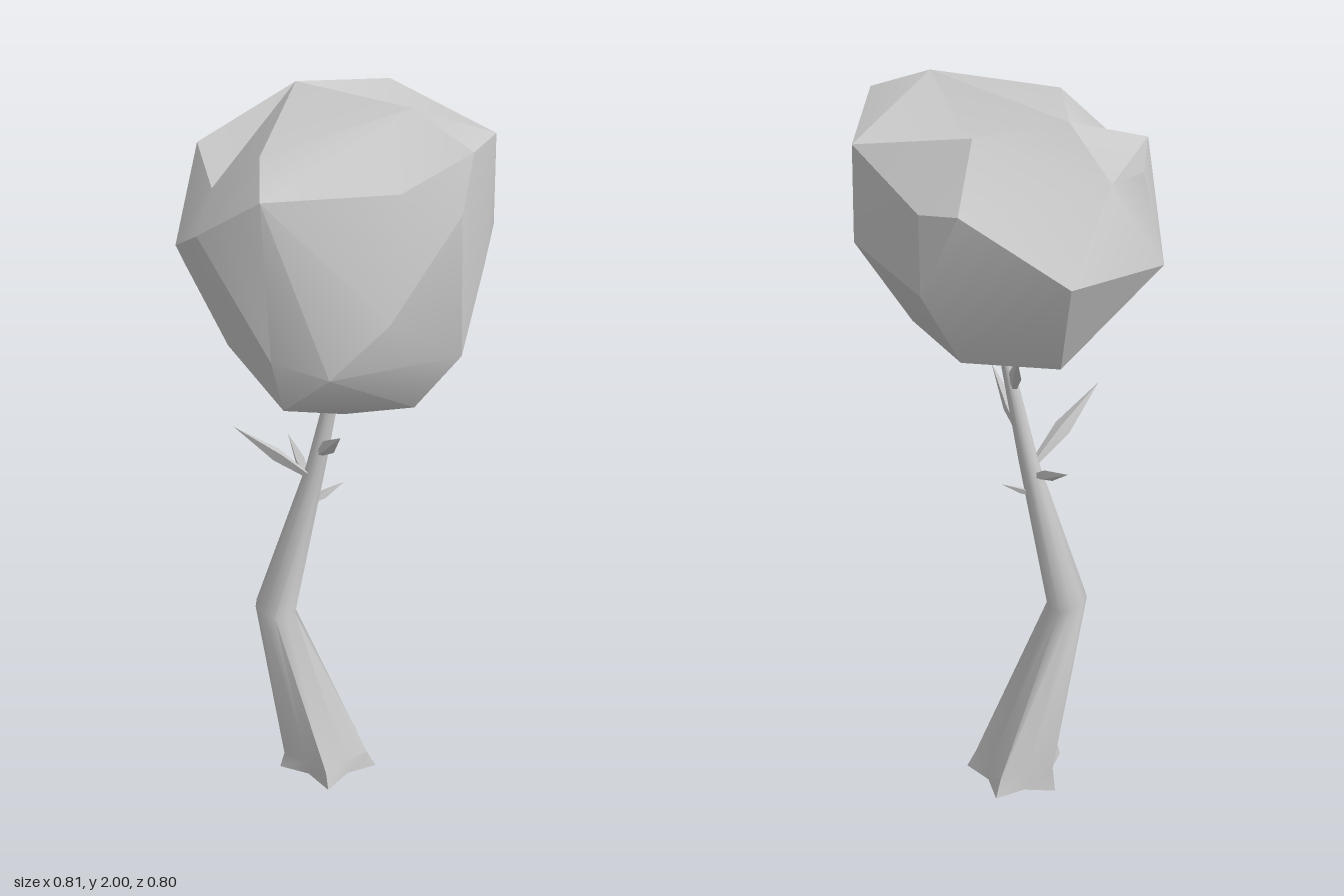
import * as THREE from 'three';
import { toCreasedNormals } from 'three/addons/utils/BufferGeometryUtils.js';
import { ConvexGeometry } from 'three/addons/geometries/ConvexGeometry.js';

const V = (x, y, z) => new THREE.Vector3(x, y, z);

// Skin a stack of rings (arrays of Vector3, running from +x towards +z, stacked upwards)
function loft(rings, crease) {
  const n = rings[0].length, pos = [];
  const tri = (...pts) => pts.forEach(p => pos.push(p.x, p.y, p.z));
  for (let i = 0; i < n; i++) {
    const k = (i + 1) % n;
    for (let j = 0; j + 1 < rings.length; j++) {
      const a = rings[j][i], b = rings[j][k], c = rings[j + 1][i], d = rings[j + 1][k];
      tri(a, c, b);
      tri(b, c, d);
    }
  }
  const g = new THREE.BufferGeometry();
  g.setAttribute('position', new THREE.Float32BufferAttribute(pos, 3));
  return toCreasedNormals(g, crease);
}

// Trunk: five-rooted star, open at the ground, rounding off towards the kink and the top
function trunkGeometry() {
  const sections = [ // y, centre x, centre z, ridge radius, valley radius, tilt
    [0, -0.018, 0.018, 0.145, 0.095, 0],
    [0.05, -0.02, 0.025, 0.125, 0.093, 0],
    [0.555, -0.118, 0.118, 0.056, 0.054, 0.18],
    [1.0, -0.035, 0.042, 0.026, 0.026, 0],
    [1.45, 0.045, 0.0, 0.01, 0.01, 0],
  ];
  return loft(sections.map(([y, cx, cz, ridge, valley, tilt]) =>
    Array.from({ length: 10 }, (_, i) => {
      const a = -0.4 + i * Math.PI / 5, r = i % 2 ? valley : ridge;
      const dx = r * Math.cos(a), dz = r * Math.sin(a);
      return V(cx + dx, y + tilt * (dz - dx), cz + dz);
    })), 1.1);
}

// Twig: a four-sided spike, widest before the middle
function twigGeometry(from, to, width) {
  const dir = to.clone().sub(from), len = dir.length();
  const q = new THREE.Quaternion().setFromUnitVectors(V(0, 1, 0), dir.normalize());
  const rings = [[0, 0.4], [0.45, 1], [1, 0.01]].map(([t, w]) =>
    Array.from({ length: 4 }, (_, i) => {
      const a = i * Math.PI / 2;
      return V(Math.cos(a) * w * width, t * len, Math.sin(a) * w * width * 0.7)
        .applyQuaternion(q).add(from);
    }));
  return loft(rings, 0.3);
}

// Crown: faceted hull, with a few surface points pushed in afterwards as hollows
function crownGeometry() {
  const hull = [
    // top
    [0.2, 2.0, -0.02], [-0.21, 1.95, -0.1], [0, 1.92, 0.26], [0.37, 1.94, -0.02],
    [-0.07, 1.94, -0.285], [0.25, 1.88, -0.28], [0.09, 1.87, 0.36], [-0.28, 1.86, 0.17],
    // upper sides
    [-0.35, 1.83, 0], [-0.07, 1.76, 0.395], [-0.1, 1.8, -0.4], [0, 1.79, -0.4],
    [0.39, 1.82, 0.04], [-0.2, 1.68, 0.335], [0.36, 1.65, -0.1],
    // waist
    [-0.41, 1.62, 0], [-0.3, 1.62, -0.25], [0, 1.6, -0.4], [0.25, 1.65, -0.29],
    [-0.28, 1.58, 0.235], [0.33, 1.6, 0.21],
    // lower sides
    [0.405, 1.48, 0.04], [0.24, 1.47, 0.31], [0.12, 1.5, 0.37], [-0.05, 1.47, 0.33],
    [0.14, 1.45, -0.22],
    // underside
    [0.32, 1.34, 0.1], [0.15, 1.28, 0.15], [0.11, 1.35, 0.32], [-0.2, 1.4, 0.11],
    [-0.23, 1.38, -0.16], [-0.03, 1.4, -0.28],
  ].map(p => V(...p));
  const hollows = [ // point on the hull, where it is pushed to
    [V(-0.02, 1.99, -0.19), V(-0.02, 1.89, -0.2)],
    [V(-0.345, 1.87, -0.1), V(-0.3, 1.81, -0.06)],
    [V(-0.16, 1.87, 0.32), V(-0.13, 1.82, 0.28)],
    [V(0.31, 1.92, 0.14), V(0.29, 1.87, 0.13)],
  ];
  const g = new ConvexGeometry([...hull, ...hollows.map(h => h[0])]);
  const pos = g.attributes.position, p = V(0, 0, 0);
  for (let i = 0; i < pos.count; i++) {
    p.fromBufferAttribute(pos, i);
    for (const [outer, inner] of hollows) {
      if (p.distanceTo(outer) < 1e-4) pos.setXYZ(i, inner.x, inner.y, inner.z);
    }
  }
  return toCreasedNormals(g, 0.4);
}

export function createModel() {
  const grey = new THREE.MeshStandardMaterial({ color: 0xcccccc, side: THREE.DoubleSide });
  grey.name = 'pale grey';
  const tree = new THREE.Group();
  tree.name = 'tree';
  const add = (name, geometry) => {
    const mesh = new THREE.Mesh(geometry, grey);
    mesh.name = name;
    tree.add(mesh);
  };

  add('trunk', trunkGeometry());
  add('crown', crownGeometry());

  const twigs = [ // root, tip, half width
    [[-0.04, 0.98, 0.06], [-0.14, 1.17, 0.23], 0.024],
    [[-0.02, 1.05, 0.045], [0.13, 1.2, 0.14], 0.02],
    [[-0.045, 0.95, 0.05], [-0.18, 1.02, -0.015], 0.018],
    [[-0.05, 0.89, 0.06], [0.01, 0.945, -0.02], 0.012],
    [[0.0, 1.2, 0.025], [-0.08, 1.35, -0.1], 0.018],
  ];
  twigs.forEach(([from, to, w], i) => add('twig' + (i + 1), twigGeometry(V(...from), V(...to), w)));
  return tree;
}
